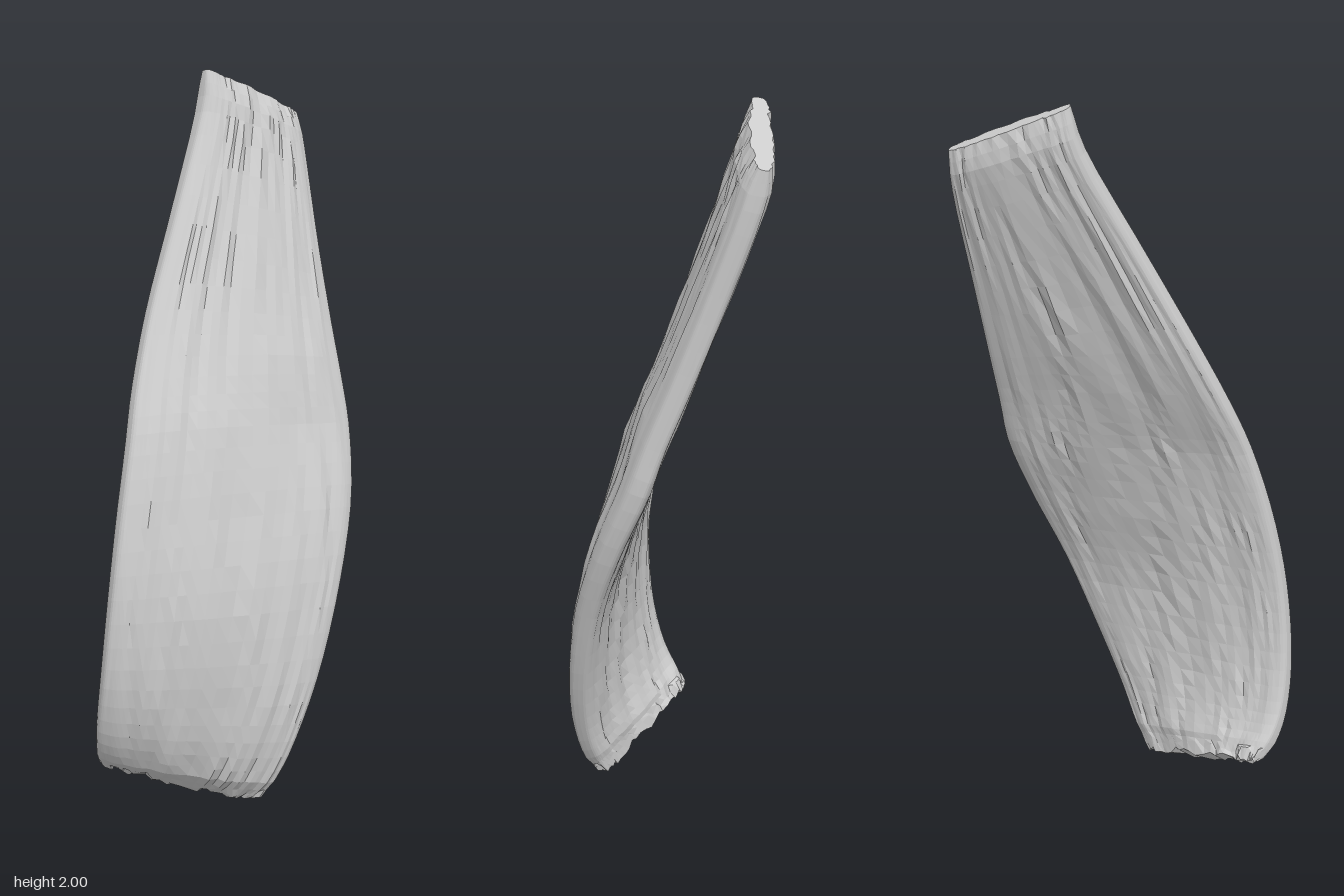
import * as THREE from 'three';

// Seeded hash and smooth value noise for the grain
const hash = (a, b) => {
  const s = Math.sin(a * 127.1 + b * 311.7) * 43758.5453;
  return s - Math.floor(s);
};
const noise = (x, y) => {
  const i = Math.floor(x), j = Math.floor(y), f = x - i, g = y - j;
  const lerp = THREE.MathUtils.lerp;
  return lerp(lerp(hash(i, j), hash(i + 1, j), f), lerp(hash(i, j + 1), hash(i + 1, j + 1), f), g) * 2 - 1;
};
const curve = pts => new THREE.CatmullRomCurve3(pts.map(p => new THREE.Vector3(...p)), false, 'catmullrom', 0.5);

// Front and back edges of the slab, from the top end down
const frontEdge = curve([
  [-0.245, 1.995, -0.11], [-0.225, 1.86, -0.07], [-0.155, 1.6, 0.06], [-0.09, 1.35, 0.185],
  [-0.025, 1.15, 0.275], [0.025, 1.0, 0.33], [0.06, 0.8, 0.385], [0.075, 0.6, 0.422],
  [0.065, 0.4, 0.44], [0.03, 0.25, 0.435], [-0.015, 0.16, 0.41], [-0.055, 0.115, 0.37],
]);
const backEdge = curve([
  [-0.25, 1.87, -0.435], [-0.215, 1.75, -0.435], [-0.125, 1.5, -0.415], [-0.04, 1.28, -0.4],
  [0.025, 1.12, -0.39], [0.075, 0.98, -0.38], [0.15, 0.8, -0.33], [0.21, 0.6, -0.25],
  [0.24, 0.38, -0.165], [0.24, 0.2, -0.09], [0.215, 0.07, -0.035], [0.175, 0.0, 0.01],
]);

function slabGeometry() {
  const rows = 36, cols = 72;
  const pos = [], index = [];
  const power = (v, e) => Math.sign(v) * Math.abs(v) ** e;
  for (let i = 0; i <= rows; i++) {
    const t = i / rows;
    const f = frontEdge.getPoint(t), b = backEdge.getPoint(t);
    const mid = f.clone().add(b).multiplyScalar(0.5);
    const half = f.clone().sub(b).multiplyScalar(0.5);
    const along = frontEdge.getTangent(t).add(backEdge.getTangent(t));
    const out = half.clone().cross(along).normalize();
    // Thickness tapers at the two worn ends
    const worn = Math.min(1, 0.6 + t * 9, 0.5 + (1 - t) * 6);
    const thick = (0.046 + 0.006 * Math.sin(Math.PI * t)) * worn;
    const bulge = 0.022 * Math.sin(Math.PI * t);
    for (let j = 0; j < cols; j++) {
      const a = (j / cols) * Math.PI * 2;
      const u = power(Math.cos(a), 0.8), v = power(Math.sin(a), 0.5);
      // Long grooves that drift slowly across the slab
      const drift = 3 * Math.sin(t * 5) * Math.sin(a);
      const grain = 0.011 * noise(j * 0.9 + drift, t * 9) * Math.abs(Math.sin(a));
      const p = mid.clone().addScaledVector(half, u)
        .addScaledVector(out, v * (thick + grain) + bulge * (1 - u * u));
      // Ragged lower end
      if (i >= rows - 1) p.y += 0.024 * (hash(j, i) - 0.5);
      pos.push(p.x, Math.max(0, p.y), p.z);
    }
  }
  for (let i = 0; i < rows; i++) {
    for (let j = 0; j < cols; j++) {
      const k = (j + 1) % cols;
      const a = i * cols + j, d = i * cols + k;
      index.push(a, a + cols, d + cols, a, d + cols, d);
    }
  }
  // Close the two ends with strips across the thickness
  const capEnd = (row, flip) => {
    for (let j = 0; j < cols / 2; j++) {
      const a = row * cols + j, b = a + 1;
      const c = row * cols + (cols - j) % cols, d = row * cols + cols - j - 1;
      const tris = flip ? [a, d, b, a, c, d] : [a, b, d, a, d, c];
      index.push(...tris);
    }
  };
  capEnd(0, false);
  capEnd(rows, true);
  const geo = new THREE.BufferGeometry();
  geo.setAttribute('position', new THREE.Float32BufferAttribute(pos, 3));
  geo.setIndex(index);
  geo.computeVertexNormals();
  return geo;
}

export function createModel() {
  const model = new THREE.Group();
  model.name = 'curvedSlab';
  const paleGrey = new THREE.MeshStandardMaterial({ color: 0xcccccc, flatShading: true });
  paleGrey.name = 'pale grey';
  const slab = new THREE.Mesh(slabGeometry(), paleGrey);
  slab.name = 'grainedSlab';
  model.add(slab);
  return model;
}
